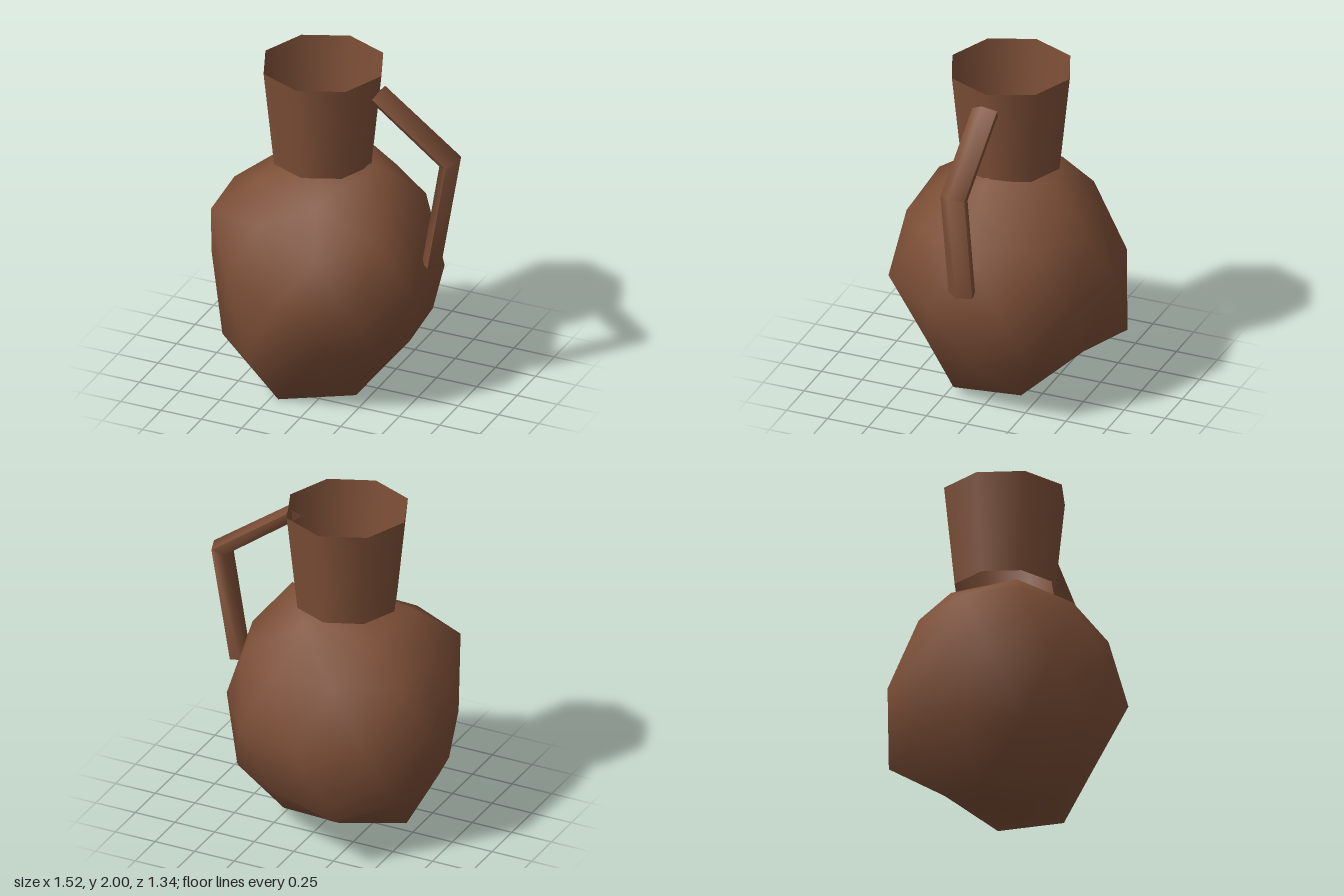
import * as THREE from 'three';
import { mergeVertices, toCreasedNormals } from 'three/addons/utils/BufferGeometryUtils.js';
import { ConvexGeometry } from 'three/addons/geometries/ConvexGeometry.js';

const rad = THREE.MathUtils.degToRad;

// Rings of a once-subdivided icosahedron standing on its pole: height, radius, first angle, count
const rings = {
  top: [1, 0, 0, 1],
  crown: [0.851, 0.526, 0, 5],
  shoulder: [0.526, 0.851, 36, 5],
  upper: [0.447, 0.894, 0, 5],
  equator: [0, 1, 18, 10],
  lower: [-0.447, 0.894, 36, 5],
  hip: [-0.526, 0.851, 0, 5],
  foot: [-0.851, 0.526, 36, 5],
  bottom: [-1, 0, 0, 1],
};

// Hand-worked dents and bulges: ring + angle -> shift in x, y, z
const dents = {
  crown0: [-0.02, 0.08, 0], crown72: [0, -0.07, 0], crown288: [0, 0.04, 0],
  crown144: [0, -0.03, 0], crown216: [0, -0.03, 0],
  shoulder180: [0.05, 0.04, 0], shoulder108: [0, 0.04, -0.04], shoulder252: [0.03, 0, 0.04],
  upper0: [-0.03, 0.05, 0], upper72: [0, 0, -0.03], upper144: [-0.02, 0.07, 0.01],
  upper216: [0.03, 0.03, 0.03], upper288: [0, 0.05, -0.01],
  equator126: [0.04, 0, -0.07], equator162: [0.06, 0, -0.03], equator54: [0, 0, 0.015],
  equator306: [-0.015, 0, -0.02], equator342: [-0.02, 0, -0.02],
  equator198: [0, 0, -0.025], equator234: [0.015, 0, -0.015],
  lower180: [0.06, -0.03, 0], lower252: [-0.01, -0.09, -0.075], lower108: [-0.02, -0.07, 0.025],
  lower36: [-0.05, -0.02, -0.045], lower324: [0.01, -0.055, 0],
  hip0: [-0.06, -0.03, 0], hip72: [-0.02, 0, -0.03],
  hip144: [0.015, -0.05, 0], hip216: [0.015, -0.03, 0],
  foot180: [0, -0.105, 0], foot36: [0, -0.105, 0], foot324: [0, -0.07, 0],
  foot108: [0, -0.153, 0.02], foot252: [0, 0, 0],
  bottom0: [0, -0.01, 0],
};

function bodyGeometry() {
  const points = [], shifts = [];
  for (const [name, [y, r, start, count]] of Object.entries(rings)) {
    for (let i = 0; i < count; i++) {
      const deg = start + (i * 360) / count;
      points.push(new THREE.Vector3(r * Math.cos(rad(deg)), y, r * Math.sin(rad(deg))));
      shifts.push(dents[name + deg] || [0, 0, 0]);
    }
  }
  // Skin the regular ball, then scale it and push each corner by its dent
  let geo = new ConvexGeometry(points);
  geo.deleteAttribute('normal');
  const pos = geo.attributes.position;
  const v = new THREE.Vector3();
  for (let i = 0; i < pos.count; i++) {
    v.fromBufferAttribute(pos, i);
    const k = points.findIndex((p) => p.distanceTo(v) < 1e-3);
    const [dx, dy, dz] = shifts[k];
    pos.setXYZ(i, v.x * 0.705 - 0.09 + dx, v.y * 0.7 + 0.75 + dy, v.z * 0.67 + dz);
  }
  geo = mergeVertices(geo);
  geo.computeVertexNormals();
  return geo;
}

// Five-sided bent bar: each section has a centre and an in-plane half-width vector
function handleGeometry() {
  const sections = [
    [0.246, 1.884, 0.025, 0.042],
    [0.7, 1.546, 0.061, 0.021],
    [0.587, 0.881, 0.054, -0.006],
  ];
  const n = 5, verts = [], index = [];
  for (const [cx, cy, hx, hy] of sections) {
    for (let i = 0; i < n; i++) {
      const a = rad(12) + (i / n) * Math.PI * 2;
      verts.push(cx + hx * Math.cos(a), cy + hy * Math.cos(a), 0.084 * Math.sin(a) - 0.008);
    }
  }
  for (let s = 0; s < sections.length - 1; s++) {
    for (let i = 0; i < n; i++) {
      const a = s * n + i, b = s * n + ((i + 1) % n);
      index.push(a, a + n, b, b, a + n, b + n);
    }
  }
  const last = (sections.length - 1) * n;
  for (let i = 1; i < n - 1; i++) {
    index.push(0, i, i + 1, last, last + i + 1, last + i);
  }
  const geo = new THREE.BufferGeometry();
  geo.setAttribute('position', new THREE.Float32BufferAttribute(verts, 3));
  geo.setIndex(index);
  return toCreasedNormals(geo, rad(80));
}

export function createModel() {
  const clay = new THREE.MeshStandardMaterial({ color: 0x7d4f37, side: THREE.DoubleSide });
  clay.name = 'clay';
  const group = new THREE.Group();
  group.name = 'jug';
  const add = (name, geo) => {
    const mesh = new THREE.Mesh(geo, clay);
    mesh.name = name;
    group.add(mesh);
    return mesh;
  };

  add('body', bodyGeometry());

  // Open flared neck
  const neck = add('neck', new THREE.CylinderGeometry(0.36, 0.297, 0.59, 8, 1, true));
  neck.position.set(-0.095, 1.705, -0.016);

  add('handle', handleGeometry());
  return group;
}
